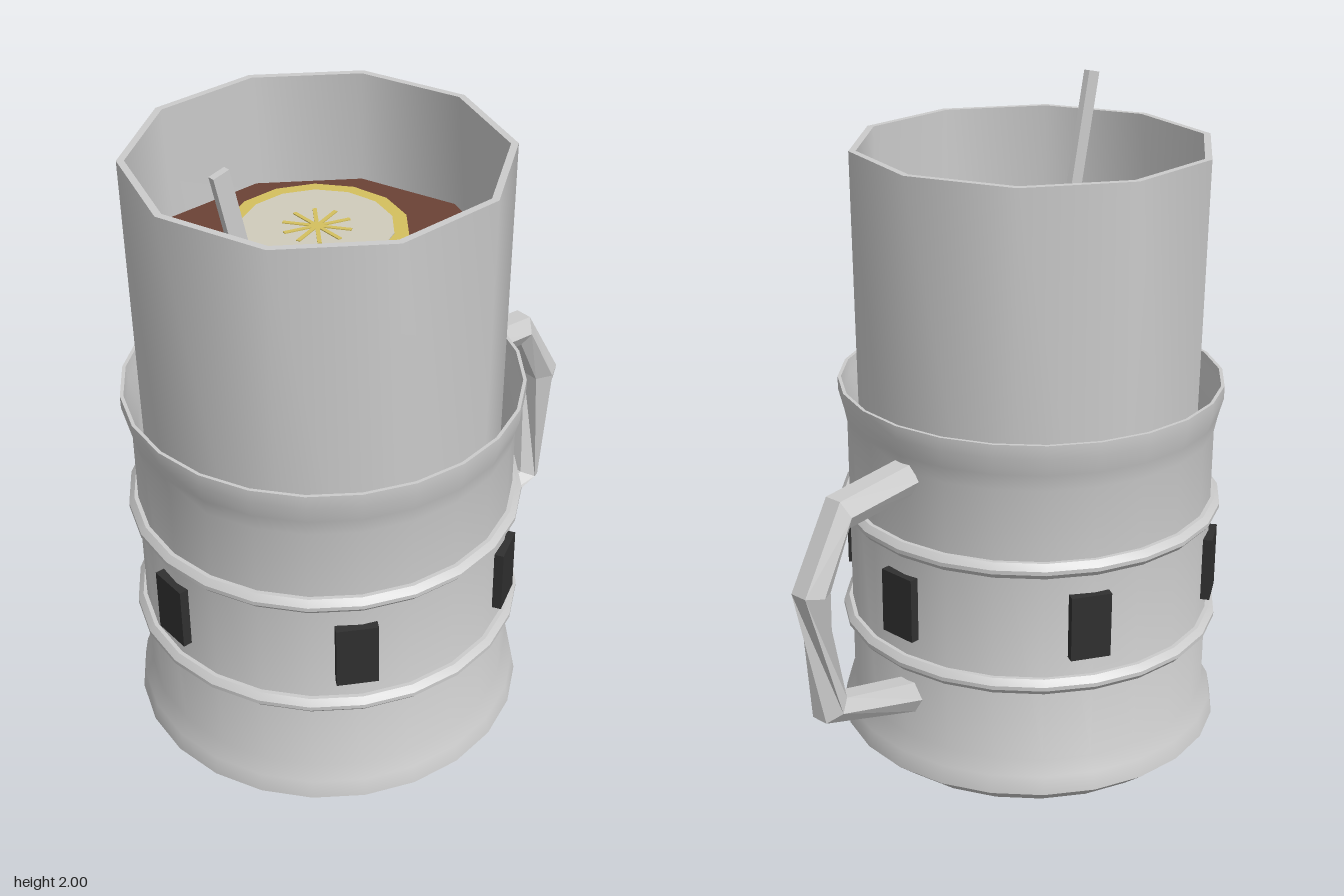
import * as THREE from 'three';
import { toCreasedNormals } from 'three/addons/utils/BufferGeometryUtils.js';

const CX = -0.185; // axis of the cup
const mat = (color = 0xcccccc, opts = {}) => new THREE.MeshStandardMaterial({ color, ...opts });
const grey = mat(0xcccccc, { side: THREE.DoubleSide });

function add(parent, name, geometry, material, x = 0, y = 0, z = 0) {
  const mesh = new THREE.Mesh(geometry, material);
  mesh.name = name;
  mesh.position.set(x, y, z);
  parent.add(mesh);
  return mesh;
}

// Turned part, smooth around the axis with sharp profile edges
function turned(profile, sides, crease) {
  const pts = profile.map(([r, y]) => new THREE.Vector2(r, y));
  return toCreasedNormals(new THREE.LatheGeometry(pts, sides, Math.PI / 2), crease);
}

const disc = (r, h, sides) =>
  toCreasedNormals(new THREE.CylinderGeometry(r, r, h, sides, 1, false, Math.PI / 2), 0.8);

// Six-sided bar through stations [x, y, tilt of outward direction, twist] in degrees
function hexBar(stations, r) {
  const rad = THREE.MathUtils.degToRad;
  const pos = [], index = [], n = stations.length;
  for (const [x, y, tilt, twist] of stations) {
    for (let k = 0; k < 6; k++) {
      const a = rad(k * 60 + twist), out = r * Math.sin(a);
      pos.push(x + out * Math.cos(rad(tilt)), y + out * Math.sin(rad(tilt)), r * Math.cos(a));
    }
  }
  for (let s = 0; s < n - 1; s++) {
    for (let k = 0; k < 6; k++) {
      const a = s * 6 + k, b = s * 6 + (k + 1) % 6;
      index.push(a, a + 6, b, b, a + 6, b + 6);
    }
  }
  const geo = new THREE.BufferGeometry();
  geo.setAttribute('position', new THREE.Float32BufferAttribute(pos, 3));
  geo.setIndex(index);
  const flat = geo.toNonIndexed();
  flat.computeVertexNormals();
  return flat;
}

export function createModel() {
  const model = new THREE.Group();
  model.name = 'glassInHolder';
  const cup = new THREE.Group();
  cup.name = 'cup';
  cup.position.x = CX;
  model.add(cup);

  // Holder: footed shell with a flared lip, open at the top
  add(cup, 'holder', turned([
    [0, 0], [0.52, 0], [0.592, 0.06], [0.582, 0.115], [0.555, 0.16], [0.555, 1.02],
    [0.565, 1.07], [0.58, 1.125], [0.58, 1.165], [0.57, 1.165], [0.565, 1.12],
    [0.542, 1.03], [0.542, 0.12], [0, 0.12],
  ], 24, 0.6), grey);

  // Two raised bands around the holder
  for (const y of [0.41, 0.78]) {
    add(cup, 'band', turned([
      [0.55, -0.024], [0.567, -0.024], [0.583, -0.006], [0.583, 0.006], [0.567, 0.024], [0.55, 0.024],
    ], 24, 0.5), grey, 0, y);
  }

  // Six dark inlays between the bands
  const inlays = new THREE.Group();
  inlays.name = 'inlays';
  inlays.rotation.y = -0.028;
  cup.add(inlays);
  for (let i = 0; i < 6; i++) {
    const a = i * Math.PI / 3;
    const inlay = add(inlays, 'inlay', new THREE.BoxGeometry(0.03, 0.2, 0.12), mat(0x303030),
      0.56 * Math.cos(a), 0.595, 0.56 * Math.sin(a));
    inlay.rotation.y = -a;
  }

  // Ten-sided drinking glass with a thin wall
  add(cup, 'glass', turned([
    [0, 0.14], [0.515, 0.14], [0.532, 1.865], [0.511, 1.865], [0.497, 0.18], [0, 0.18],
  ], 10, 0.8), grey);

  // Drink and the floating fruit slice
  add(cup, 'drink', disc(0.506, 0.02, 10), mat(0x6b4236), 0, 1.52);
  const slice = new THREE.Group();
  slice.name = 'fruitSlice';
  slice.position.set(0.095, 1.54, -0.13);
  cup.add(slice);
  add(slice, 'rind', disc(0.262, 0.022, 14), mat(0xd4c05e));
  add(slice, 'flesh', disc(0.22, 0.028, 14), mat(0xd0ccbc));
  for (let i = 0; i < 5; i++) {
    const rib = add(slice, 'segmentLine', new THREE.BoxGeometry(0.012, 0.006, 0.2), mat(0xd4c05e), 0, 0.014);
    rib.rotation.y = i * Math.PI / 5;
  }

  // Flat stirring stick leaning on the rim
  const stick = add(model, 'stirrer', new THREE.BoxGeometry(0.05, 0.9, 0.02), mat(), -0.507, 1.555, 0.125);
  stick.rotation.z = 0.22;

  // Angular handle, its upright turned by a third
  add(model, 'handle', hexBar([
    [0.34, 1.002, 86, 0], [0.625, 0.98, 70, 0], [0.735, 0.775, 8, 0],
    [0.682, 0.392, -30, 120], [0.345, 0.29, -74, 120],
  ], 0.055), grey);

  return model;
}
